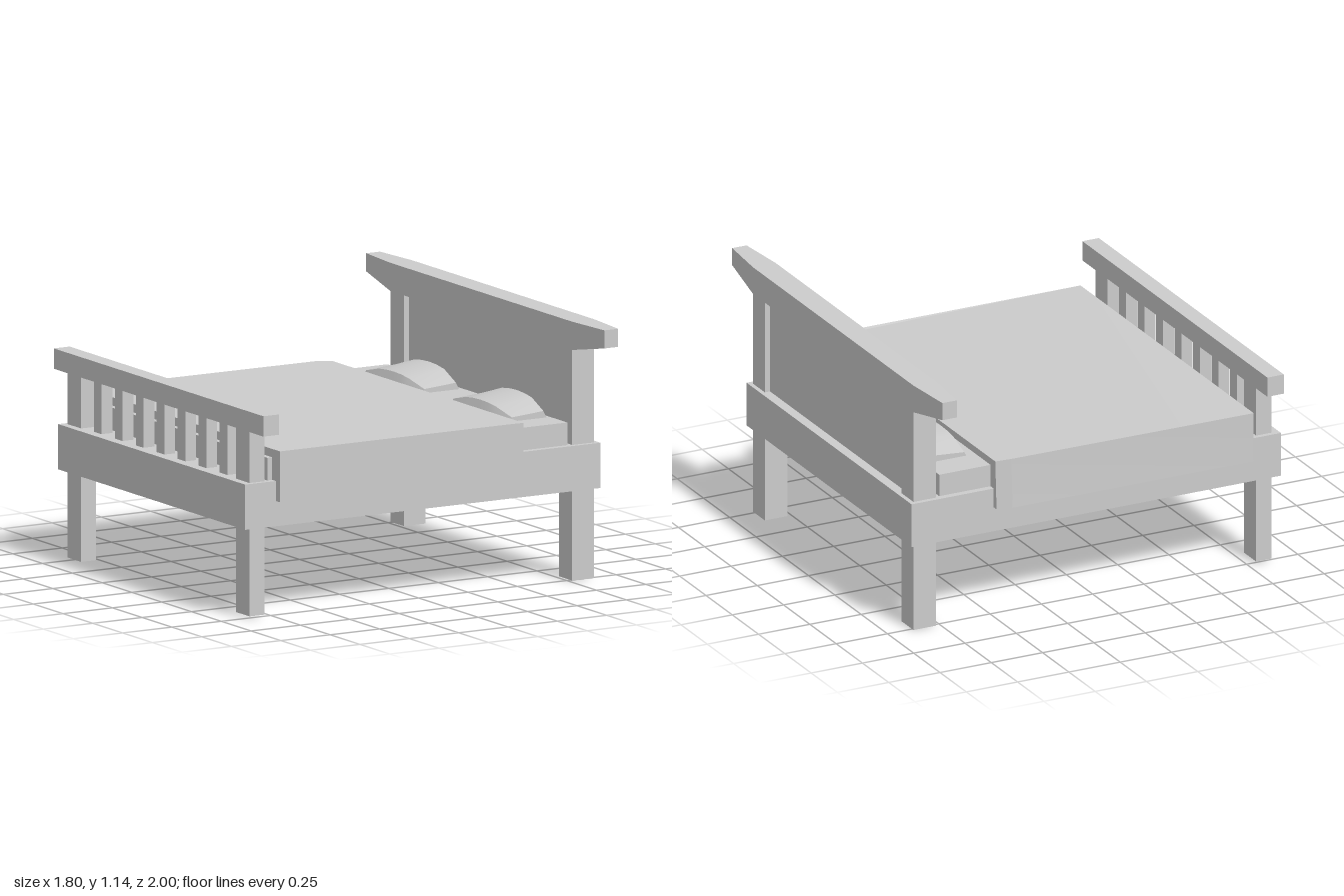
import * as THREE from 'three';
import { toCreasedNormals } from 'three/addons/utils/BufferGeometryUtils.js';

const material = new THREE.MeshStandardMaterial({ color: 0xcccccc });

export function createModel() {
  const bed = new THREE.Group();
  bed.name = 'bed';

  const add = (name, geometry) => {
    const mesh = new THREE.Mesh(geometry, material);
    mesh.name = name;
    bed.add(mesh);
    return mesh;
  };

  // Box given by its limits on each axis
  const box = (name, x0, x1, y0, y1, z0, z1) => {
    const g = new THREE.BoxGeometry(x1 - x0, y1 - y0, z1 - z0);
    g.translate((x0 + x1) / 2, (y0 + y1) / 2, (z0 + z1) / 2);
    return add(name, g);
  };

  // Skin over four-cornered sections [z, [x, y] * 4], counter-clockwise seen from +z
  const loft = (sections, crease) => {
    const points = [], index = [];
    for (const [z, ...corners] of sections) for (const [x, y] of corners) points.push(x, y, z);
    for (let i = 0; i < sections.length - 1; i++) {
      for (let j = 0; j < 4; j++) {
        const a = i * 4 + j, b = i * 4 + (j + 1) % 4;
        index.push(a, b, b + 4, a, b + 4, a + 4);
      }
    }
    const e = (sections.length - 1) * 4;
    index.push(0, 2, 1, 0, 3, 2, e, e + 1, e + 2, e, e + 2, e + 3);
    const g = new THREE.BufferGeometry();
    g.setAttribute('position', new THREE.Float32BufferAttribute(points, 3));
    g.setIndex(index);
    return toCreasedNormals(g, crease);
  };

  // Base and mattress
  box('bedFrame', -0.9, 0.9, 0.4, 0.6, -0.785, 0.785);
  box('mattress', -0.77, 0.75, 0.6, 0.7, -0.755, 0.755);

  // Legs running up into the head and foot posts
  for (const s of [-1, 1]) {
    const z0 = Math.min(s * 0.65, s * 0.763), z1 = Math.max(s * 0.65, s * 0.763);
    box('headPost', 0.77, 0.88, 0, 1.03, z0, z1);
    box('footPost', -0.865, -0.79, 0.01, 0.83, z0, z1);
  }

  // Headboard panel and top rail with tapered ends
  box('headPanel', 0.795, 0.855, 0.59, 1.03, -0.66, 0.66);
  const tip = [[0.79, 1.065], [0.86, 1.065], [0.86, 1.145], [0.79, 1.145]];
  const middle = [[0.77, 1.02], [0.88, 1.02], [0.88, 1.145], [0.77, 1.145]];
  add('headRail', loft([[-1, ...tip], [-0.763, ...middle], [0.763, ...middle], [1, ...tip]], 0.02));

  // Footboard rail and slats
  box('footRail', -0.865, -0.785, 0.825, 0.915, -0.88, 0.88);
  for (let i = -3; i <= 3; i++) {
    const z = i * 0.176;
    box('footSlat', -0.855, -0.8, 0.59, 0.83, z - 0.032, z + 0.032);
  }

  // Blanket, pulled in a little at the head end
  const plan = new THREE.Shape([
    [-0.745, -0.82], [0.43, -0.82], [0.5, -0.802], [0.5, 0.812], [0.43, 0.828], [-0.745, 0.828],
  ].map(([x, y]) => new THREE.Vector2(x, y)));
  const blanket = new THREE.ExtrudeGeometry(plan, { depth: 0.225, bevelEnabled: false });
  blanket.rotateX(-Math.PI / 2);
  blanket.translate(0, 0.512, 0);
  const p = blanket.attributes.position;
  for (let i = 0; i < p.count; i++) {
    if (p.getY(i) < 0.7) continue;
    if (p.getX(i) > 0.49) p.setY(i, 0.732);
    if (p.getX(i) > 0.4 && p.getZ(i) < 0) p.setZ(i, p.getZ(i) + 0.012);
  }
  add('blanket', toCreasedNormals(blanket, 0.1));

  // Two plump pillows, domed along their length
  const pillowSections = [];
  for (const z of [-0.245, -0.125, -0.0625, 0, 0.0625, 0.125, 0.245]) {
    const end = Math.abs(z) > 0.2;
    const rise = end ? 0 : 1 - 0.9 * z * z / 0.0625;
    pillowSections.push([z,
      [end ? 0.54 : 0.52, 0.69],
      [end ? 0.735 : 0.755, 0.69],
      [end ? 0.715 : 0.728, 0.73 + 0.05 * rise],
      [end ? 0.555 : 0.547, 0.718 + 0.037 * rise]]);
  }
  for (const s of [-1, 1]) add('pillow', loft(pillowSections, 0.5)).position.z = s * 0.367;

  return bed;
}
